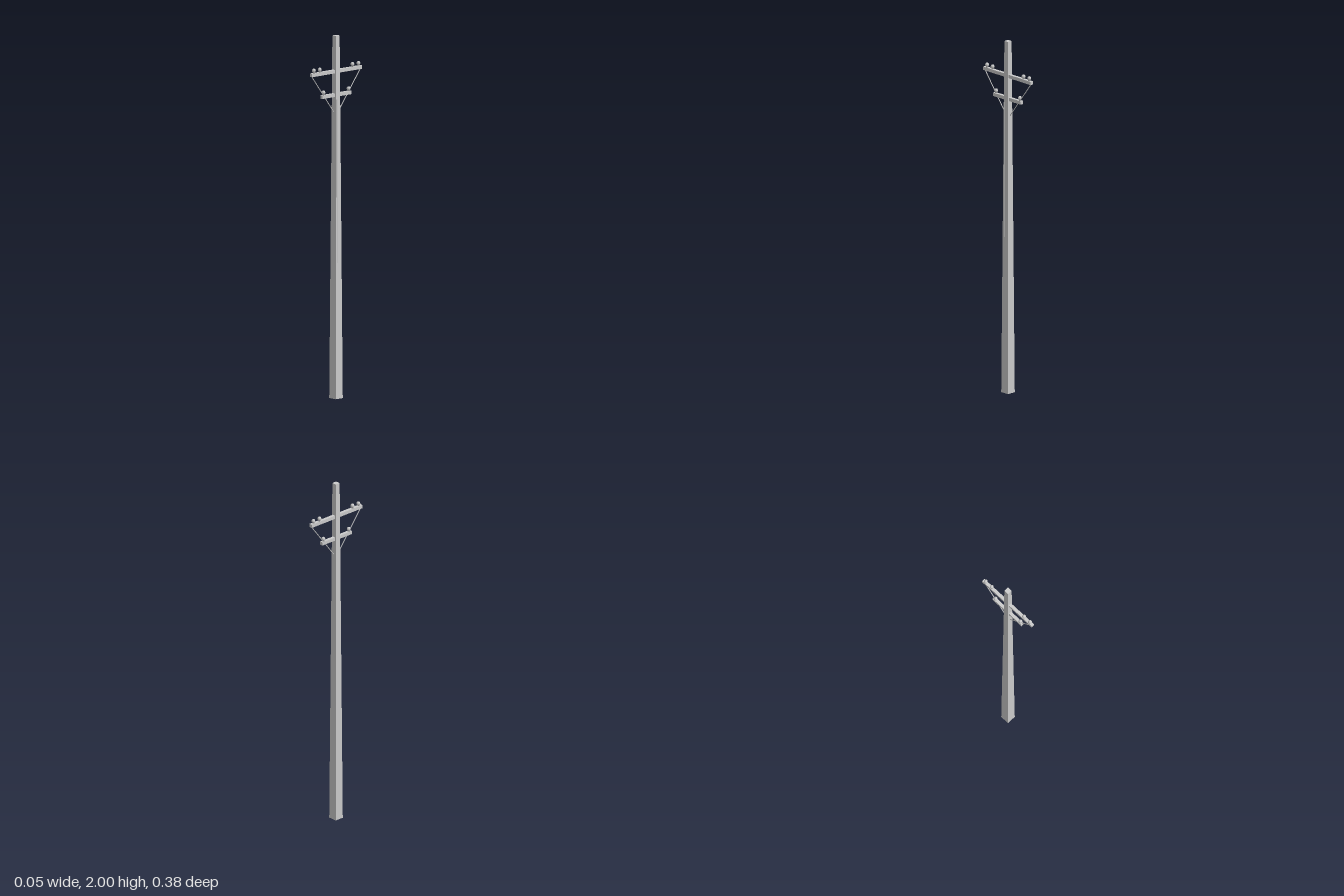
import * as THREE from 'three';

const flat = new THREE.MeshStandardMaterial({ color: 0xcccccc, flatShading: true });
const smooth = new THREE.MeshStandardMaterial({ color: 0xcccccc });

function add(parent, name, geometry, material = flat) {
  const mesh = new THREE.Mesh(geometry, material);
  mesh.name = name;
  parent.add(mesh);
  return mesh;
}

// Round rod between two points
function rod(parent, name, a, b, radius) {
  const dir = b.clone().sub(a);
  const mesh = add(parent, name, new THREE.CylinderGeometry(radius, radius, dir.length(), 8), smooth);
  mesh.position.copy(a).add(b).multiplyScalar(0.5);
  mesh.quaternion.setFromUnitVectors(new THREE.Vector3(0, 1, 0), dir.normalize());
}

// Insulator: short stem carrying a rounded bell
const insulatorProfile = [
  [0, 0], [0.006, 0], [0.006, 0.006], [0.0095, 0.009], [0.0107, 0.014],
  [0.0095, 0.02], [0.006, 0.0245], [0, 0.026],
].map(([r, y]) => new THREE.Vector2(r, y));

// Crossarm along z with insulators standing on top
function crossarm(parent, name, y, length, insulatorZ) {
  const group = new THREE.Group();
  group.name = name;
  group.position.y = y;
  add(group, 'beam', new THREE.BoxGeometry(0.018, 0.019, length));
  for (const z of insulatorZ) {
    const insulator = add(group, 'insulator', new THREE.LatheGeometry(insulatorProfile, 16), smooth);
    insulator.position.set(0, 0.0085, z);
  }
  parent.add(group);
}

export function createModel() {
  const model = new THREE.Group();
  model.name = 'utilityPole';

  // Square pole tapering to the top
  const pole = new THREE.CylinderGeometry(0.014 * Math.SQRT2, 0.026 * Math.SQRT2, 2, 4);
  pole.rotateY(Math.PI / 4).translate(0, 1, 0);
  add(model, 'pole', pole);

  // Crossarms
  crossarm(model, 'upperCrossarm', 1.803, 0.376, [-0.168, -0.123, 0.122, 0.166]);
  crossarm(model, 'lowerCrossarm', 1.673, 0.218, [-0.094, 0.094]);

  // Diagonal braces from the upper crossarm down to the pole
  for (const side of [-1, 1]) {
    rod(model, 'brace', new THREE.Vector3(0, 1.797, side * 0.184),
      new THREE.Vector3(0, 1.565, side * 0.006), 0.0025);
  }

  // Conduit on the side, sinking into the widening pole
  rod(model, 'conduit', new THREE.Vector3(0.019, 0.66, 0.01),
    new THREE.Vector3(0.019, 1.65, 0.01), 0.003);

  return model;
}
